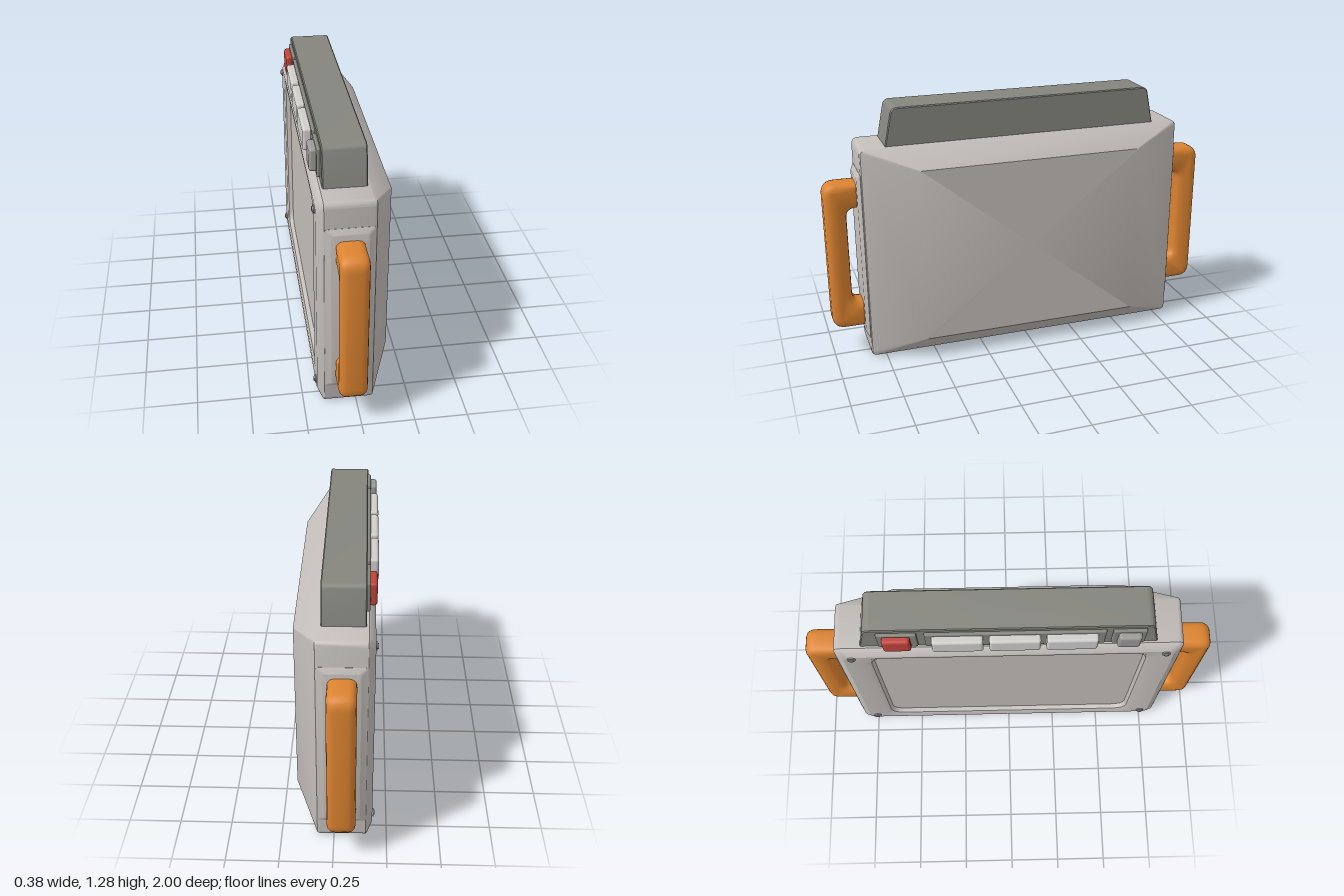
import * as THREE from 'three';
import { toCreasedNormals } from 'three/addons/utils/BufferGeometryUtils.js';
import { RoundedBoxGeometry } from 'three/addons/geometries/RoundedBoxGeometry.js';

const mat = (name, color) => Object.assign(new THREE.MeshStandardMaterial({ color }), { name });

// Loft of rounded rectangles along x; section = [x, half width in z, y bottom, y top, radius]
function loft(sections, steps = 4) {
  const pos = [], index = [], n = 4 * (steps + 1);
  for (const [x, hz, y0, y1, r] of sections) {
    for (let c = 0; c < 4; c++) {
      const cz = (c === 0 || c === 3 ? 1 : -1) * (hz - r);
      const cy = c < 2 ? y1 - r : y0 + r;
      for (let i = 0; i <= steps; i++) {
        const a = (c + i / steps) * Math.PI / 2;
        pos.push(x, cy + r * Math.sin(a), cz + r * Math.cos(a));
      }
    }
  }
  const last = sections.length - 1;
  for (let s = 0; s < last; s++) {
    for (let j = 0; j < n; j++) {
      const a = s * n + j, b = s * n + (j + 1) % n;
      index.push(a, a + n, b, b, a + n, b + n);
    }
  }
  // End caps
  for (const s of [0, last]) {
    const [x, , y0, y1] = sections[s], centre = pos.length / 3;
    pos.push(x, (y0 + y1) / 2, 0);
    for (let j = 0; j < n; j++) {
      const a = s * n + j, b = s * n + (j + 1) % n;
      index.push(centre, s ? b : a, s ? a : b);
    }
  }
  const g = new THREE.BufferGeometry();
  g.setAttribute('position', new THREE.Float32BufferAttribute(pos, 3));
  g.setIndex(index);
  return toCreasedNormals(g, 0.5);
}

// Outline with rounded corners; each point = [u, v, radius]
function roundedShape(points) {
  const shape = new THREE.Shape(), n = points.length;
  points.forEach(([u, v, r], i) => {
    const p = new THREE.Vector2(u, v);
    const toward = (q) => new THREE.Vector2(q[0], q[1]).sub(p).setLength(r).add(p);
    const a = toward(points[(i + n - 1) % n]), b = toward(points[(i + 1) % n]);
    if (i) shape.lineTo(a.x, a.y); else shape.moveTo(a.x, a.y);
    if (r) shape.quadraticCurveTo(u, v, b.x, b.y);
  });
  shape.closePath();
  return shape;
}

// Extrude a (z, y) outline along x, centred on x = 0
function extrudeX(points, width, bevel, bevelSegments) {
  const depth = width - 2 * bevel;
  const g = new THREE.ExtrudeGeometry(roundedShape(points), {
    depth, bevelEnabled: true, bevelThickness: bevel, bevelSize: bevel,
    bevelOffset: -bevel, bevelSegments, curveSegments: 6,
  });
  g.translate(0, 0, -depth / 2);
  g.rotateY(-Math.PI / 2);
  return g;
}

export function createModel() {
  const model = new THREE.Group();
  const shell = mat('shell grey', 0xc2bdb9);
  const dark = mat('housing grey', 0x85857e);
  const orange = mat('handle orange', 0xdc8330);
  const red = mat('button red', 0xc0443a);
  const light = mat('button grey', 0xcfcecb);
  const steel = mat('screw grey', 0x9c9b98);

  const add = (parent, name, geometry, material, x = 0, y = 0, z = 0) => {
    const m = new THREE.Mesh(geometry, material);
    m.name = name;
    m.position.set(x, y, z);
    parent.add(m);
    return m;
  };

  // Case with a recessed screen on the -x side and a sloped +x side
  add(model, 'case', loft([
    [-0.15, 0.65, 0.1, 1.0, 0.06],
    [-0.172, 0.66, 0.09, 1.01, 0.065],
    [-0.18, 0.68, 0.07, 1.03, 0.07],
    [-0.181, 0.785, 0.045, 1.05, 0.03],
    [-0.158, 0.82, 0.005, 1.09, 0.03],
    [-0.15, 0.825, 0, 1.095, 0.03],
    [0.07, 0.825, 0, 1.095, 0.025],
    [0.08, 0.82, 0.005, 1.09, 0.02],
    [0.19, 0.565, 0.11, 1.0, 0.01],
  ]), shell);

  // Control housing along the top
  add(model, 'controlHousing', toCreasedNormals(extrudeX([
    [-0.7, 1.08, 0], [0.7, 1.08, 0], [0.66, 1.28, 0.03], [-0.66, 1.28, 0.03],
  ], 0.2, 0.005, 1), 0.5), dark, -0.04);

  // Button bases and buttons
  const base = (z0, z1) => add(model, 'buttonBase',
    new RoundedBoxGeometry(0.03, 0.14, z1 - z0, 2, 0.008), dark, -0.14, 1.185, (z0 + z1) / 2);
  base(-0.605, -0.42);
  base(-0.385, 0.445);
  base(0.475, 0.63);
  const button = (name, z0, z1, face, material) => add(model, name,
    new RoundedBoxGeometry(0.06, 0.112, z1 - z0, 3, 0.014), material, face + 0.03, 1.185, (z0 + z1) / 2);
  button('redButton', -0.58, -0.45, -0.185, red);
  for (const z of [-0.235, 0.028, 0.29]) button('wideButton', z - 0.118, z + 0.118, -0.192, light);
  button('smallButton', 0.5, 0.605, -0.186, steel);

  // Frame screws
  for (const y of [0.08, 1.03]) {
    for (const z of [-0.745, 0.745]) {
      const ring = add(model, 'screw', new THREE.CylinderGeometry(0.02, 0.02, 0.02, 16), steel, -0.177, y, z);
      ring.rotation.z = Math.PI / 2;
      const head = add(model, 'screwHead', new THREE.CylinderGeometry(0.012, 0.012, 0.008, 6), steel, -0.189, y, z);
      head.rotation.z = Math.PI / 2;
    }
  }

  // Handle: a bevelled U, slimmer along the grip
  const handle = extrudeX([
    [0.82, 0.15, 0], [1, 0.15, 0.065], [1, 0.915, 0.065], [0.82, 0.915, 0],
    [0.82, 0.785, 0], [0.893, 0.785, 0.05], [0.893, 0.285, 0.05], [0.82, 0.285, 0],
  ], 0.132, 0.034, 3);
  const p = handle.attributes.position;
  for (let i = 0; i < p.count; i++) {
    const away = Math.abs(p.getY(i) - 0.5325);
    const grip = 1 - THREE.MathUtils.smoothstep(away, 0.22, 0.32);
    p.setX(i, p.getX(i) * (1 - 0.12 * grip));
  }
  const handleGeo = toCreasedNormals(handle, 0.6);

  // Raised pad behind each handle
  const pad = loft([
    [0.81, 0.112, 0.1, 0.97, 0.01],
    [0.826, 0.112, 0.1, 0.97, 0.01],
    [0.842, 0.084, 0.125, 0.945, 0.01],
  ], 2).rotateY(-Math.PI / 2);

  for (const front of [true, false]) {
    const side = new THREE.Group();
    side.name = front ? 'frontEnd' : 'backEnd';
    side.position.x = -0.037;
    side.rotation.y = front ? 0 : Math.PI;
    add(side, 'sidePad', pad, shell);
    add(side, 'handle', handleGeo, orange, 0, front ? 0 : 0.008);
    model.add(side);
  }
  return model;
}
